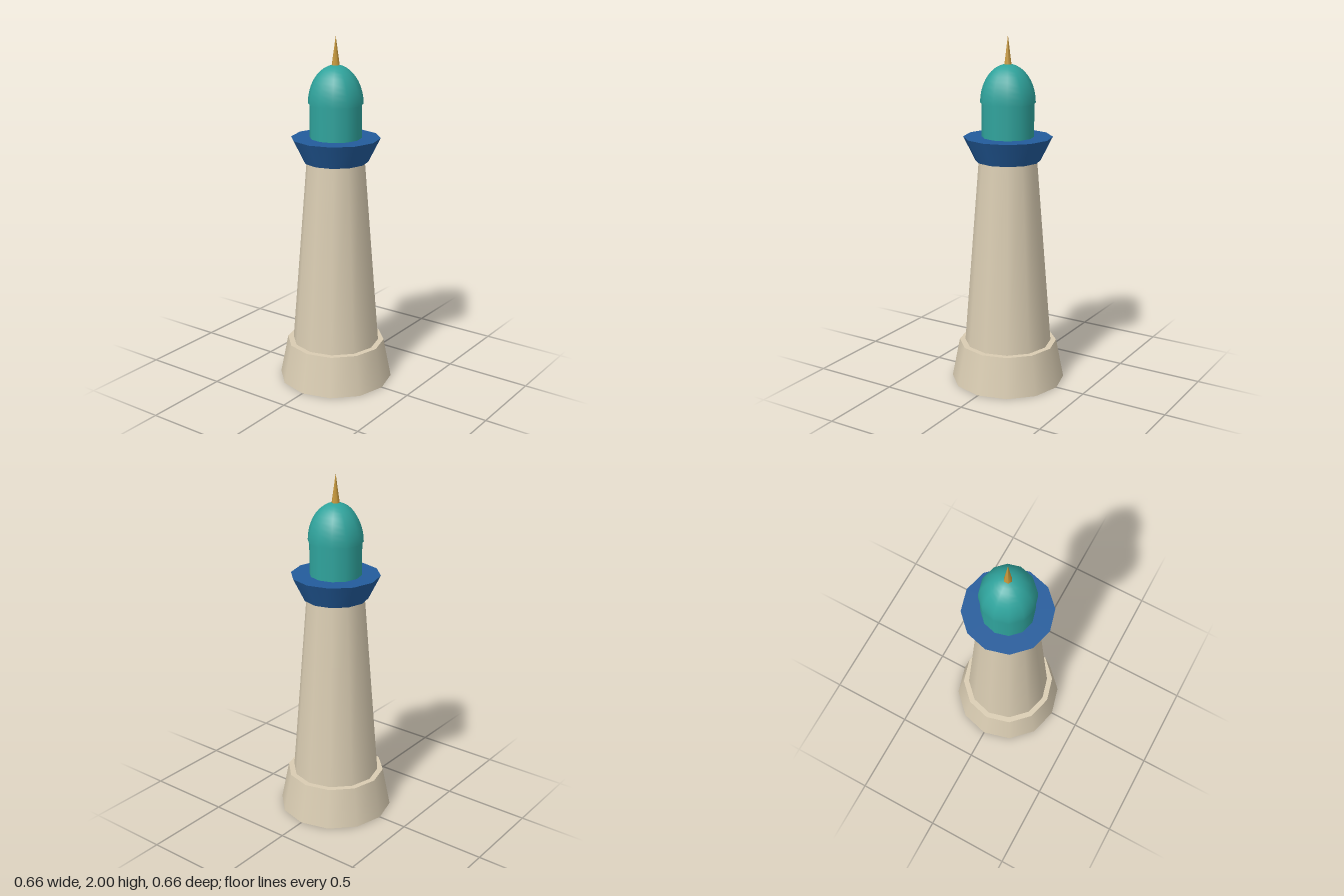
import * as THREE from 'three';

const SIDES = 12;

function material(name, color) {
  const m = new THREE.MeshStandardMaterial({ color });
  m.name = name;
  return m;
}

export function createModel() {
  const group = new THREE.Group();
  group.name = 'lighthouse';

  const stone = material('sandstone', 0xd9ccb2);
  const blue = material('blue', 0x235c9c);
  const teal = material('teal', 0x2fa39c);
  const gold = material('gold', 0xc99a3c);

  // Tapered round section standing between two heights
  function section(name, mat, rBottom, rTop, y0, y1, sides = SIDES) {
    const geo = new THREE.CylinderGeometry(rTop, rBottom, y1 - y0, sides);
    const mesh = new THREE.Mesh(geo, mat);
    mesh.name = name;
    mesh.position.y = (y0 + y1) / 2;
    group.add(mesh);
  }

  section('base', stone, 0.328, 0.283, 0, 0.23);
  section('tower', stone, 0.25, 0.164, 0.23, 1.305);
  section('gallery', blue, 0.183, 0.25, 1.305, 1.44);
  section('lanternRoom', teal, 0.146, 0.146, 1.44, 1.63);

  // Dome: a stretched half sphere, closed underneath
  const dome = new THREE.Group();
  dome.name = 'dome';
  dome.position.y = 1.63;
  const shell = new THREE.Mesh(
    new THREE.SphereGeometry(0.154, SIDES, 10, 0, Math.PI * 2, 0, Math.PI / 2), teal);
  shell.name = 'domeShell';
  shell.scale.y = 0.214 / 0.154;
  const underside = new THREE.Mesh(new THREE.CircleGeometry(0.154, SIDES), teal);
  underside.name = 'domeUnderside';
  underside.rotation.x = Math.PI / 2;
  dome.add(shell, underside);
  group.add(dome);

  // Pointed finial
  section('spire', gold, 0.023, 0, 1.835, 2, 6);

  return group;
}
